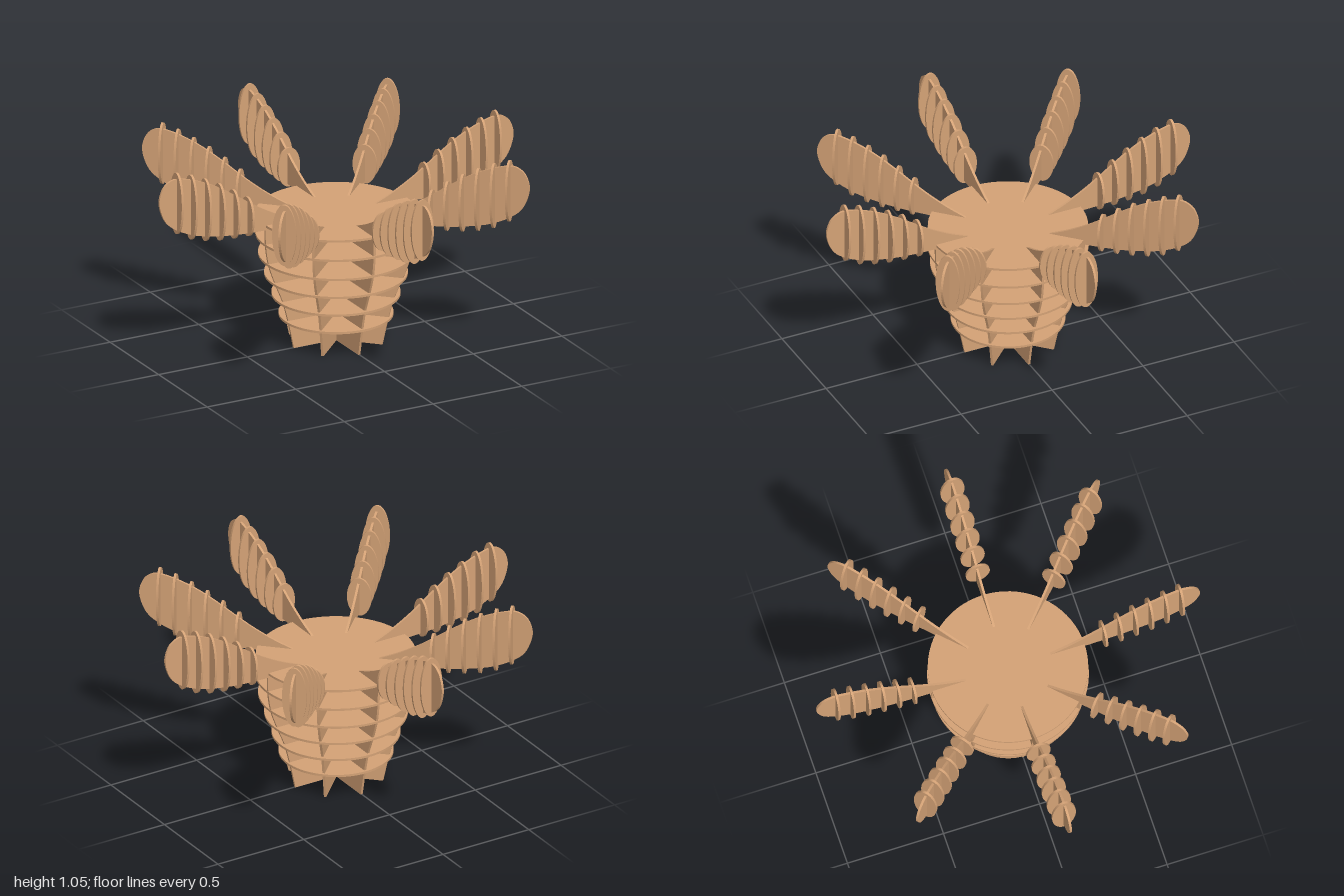
import * as THREE from 'three';

const T = 0.012; // sheet thickness
const ARMS = 8;
const v = (pts) => pts.map(([x, y]) => new THREE.Vector2(x, y));

// Cut a flat sheet from a shape, centred on its thickness
function sheet(shape, curveSegments) {
  const g = new THREE.ExtrudeGeometry(shape, { depth: T, bevelEnabled: false, curveSegments });
  return g.translate(0, 0, -T / 2);
}

// Half profile: body edge, arm underside, rounded tip, arm top, back to the axis
function ribShape() {
  const s = new THREE.Shape();
  s.moveTo(0, 0);
  s.lineTo(0.24, 0);
  s.splineThru(v([[0.268, 0.13], [0.3, 0.25], [0.345, 0.36], [0.38, 0.46], [0.397, 0.56], [0.4, 0.655]]));
  s.splineThru(v([[0.5, 0.658], [0.6, 0.665], [0.7, 0.68], [0.8, 0.703], [0.9, 0.748], [0.965, 0.805],
    [0.998, 0.9], [0.98, 0.975], [0.94, 1.012], [0.89, 1.019], [0.8, 0.995], [0.7, 0.952],
    [0.6, 0.893], [0.5, 0.826], [0.42, 0.775], [0.32, 0.722], [0.22, 0.68]]));
  s.lineTo(0.18, 0.665);
  s.lineTo(0, 0.665);
  return s;
}

export function createModel() {
  const model = new THREE.Group();
  const wood = new THREE.MeshStandardMaterial({ color: 0xd4a276 });
  wood.name = 'plywood';

  const add = (parent, geometry, name) => {
    const mesh = new THREE.Mesh(geometry, wood);
    mesh.name = name;
    parent.add(mesh);
    return mesh;
  };

  // Stacked horizontal discs
  [[0.143, 0.285], [0.25, 0.32], [0.358, 0.356], [0.465, 0.386], [0.572, 0.4], [0.674, 0.397]]
    .forEach(([y, r], i) => {
      add(model, new THREE.CylinderGeometry(r, r, T, 72), 'bodyDisc' + (i + 1)).position.y = y;
    });

  // Cross plates on an arm: radius, bottom, top
  const plates = [[0.495, 0.642, 0.848], [0.575, 0.643, 0.902], [0.655, 0.648, 0.95],
    [0.735, 0.66, 0.99], [0.815, 0.683, 1.025], [0.895, 0.727, 1.05]];
  const plateGeometries = plates.map(([, low, high]) => {
    const s = new THREE.Shape();
    s.absellipse(0, 0, 0.062, (high - low) / 2, 0, Math.PI * 2);
    return sheet(s, 36).rotateY(Math.PI / 2);
  });
  const ribGeometry = sheet(ribShape(), 5);

  // Radial ribs, each with its arm and cross plates
  for (let i = 0; i < ARMS; i++) {
    const arm = new THREE.Group();
    arm.name = 'arm' + (i + 1);
    arm.rotation.y = (i * Math.PI * 2) / ARMS;
    add(arm, ribGeometry, 'rib');
    plates.forEach(([r, low, high], k) => {
      add(arm, plateGeometries[k], 'crossPlate').position.set(r, (low + high) / 2, 0.004);
    });
    model.add(arm);
  }
  return model;
}
